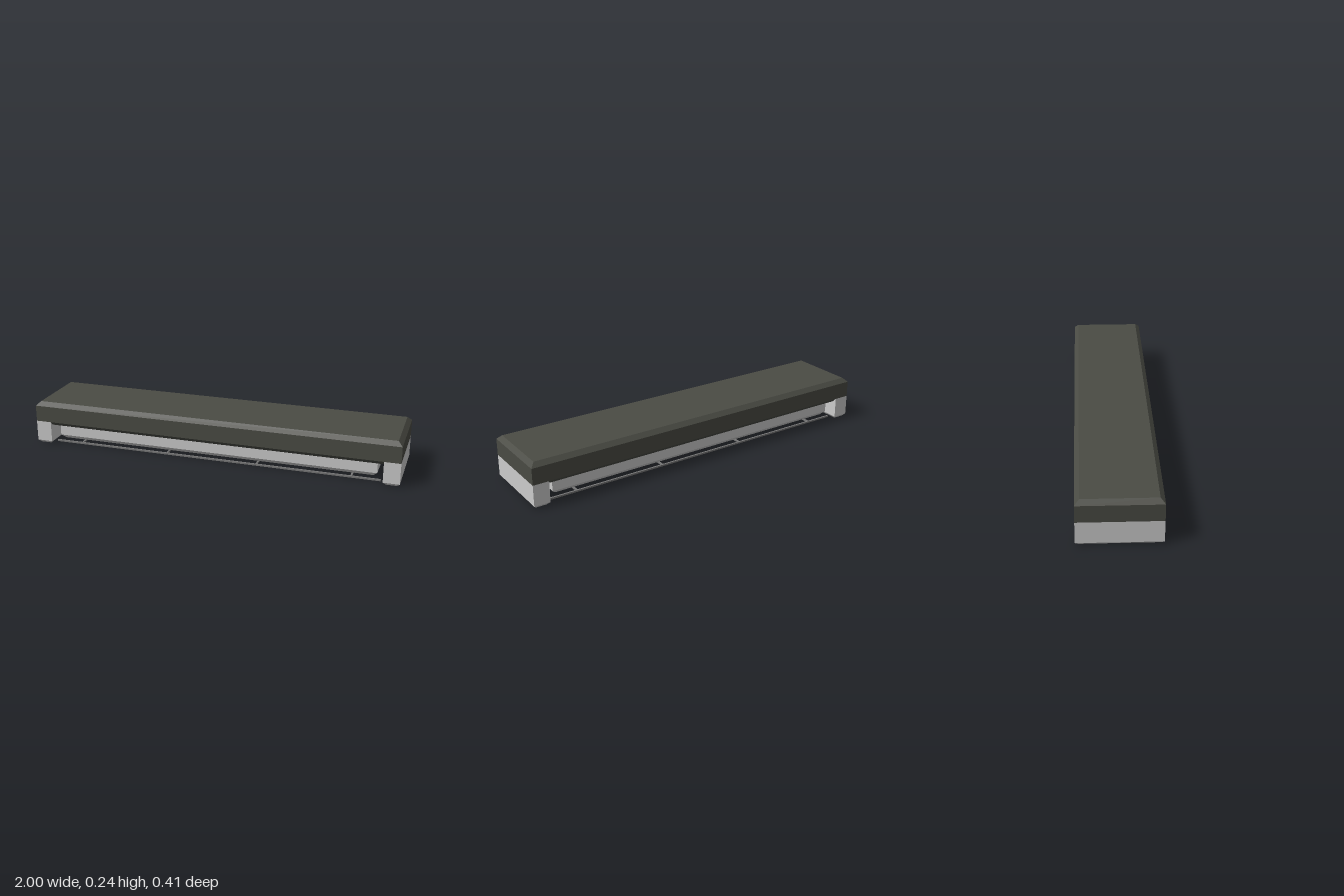
import * as THREE from 'three';

const mat = (name, color) => {
  const m = new THREE.MeshStandardMaterial({ color });
  m.name = name;
  return m;
};

// Rectangular block lofted through [y, halfX, halfZ] rings, bottom to top
function ringBlock(rings) {
  const pos = [];
  const corners = ([y, hx, hz]) => [[-hx, y, hz], [hx, y, hz], [hx, y, -hz], [-hx, y, -hz]];
  const quad = (a, b, c, d) => pos.push(...a, ...b, ...c, ...a, ...c, ...d);
  for (let r = 0; r < rings.length - 1; r++) {
    const lo = corners(rings[r]), hi = corners(rings[r + 1]);
    for (let i = 0; i < 4; i++) {
      const j = (i + 1) % 4;
      quad(lo[i], lo[j], hi[j], hi[i]);
    }
  }
  const [a, b, c, d] = corners(rings[0]);
  quad(d, c, b, a);
  quad(...corners(rings[rings.length - 1]));
  const geo = new THREE.BufferGeometry();
  geo.setAttribute('position', new THREE.Float32BufferAttribute(pos, 3));
  geo.computeVertexNormals();
  return geo;
}

export function createModel() {
  const model = new THREE.Group();
  const dark = mat('dark olive housing', 0x4a4b44);
  const grey = mat('light grey', 0xcccccc);
  const wire = mat('wire grey', 0x777777);

  const add = (name, geo, material, x = 0, y = 0, z = 0, parent = model) => {
    const mesh = new THREE.Mesh(geo, material);
    mesh.name = name;
    mesh.position.set(x, y, z);
    parent.add(mesh);
    return mesh;
  };

  // Housing, chamfered at top and bottom
  add('housing', ringBlock([
    [0.105, 0.977, 0.18], [0.127, 1, 0.203], [0.215, 1, 0.203], [0.237, 0.977, 0.18],
  ]), dark);

  // Diffuser, set into the underside of the housing
  add('diffuser', ringBlock([
    [0.02, 0.858, 0.135], [0.042, 0.88, 0.157], [0.095, 0.88, 0.157], [0.117, 0.858, 0.135],
  ]), grey);

  // End caps
  const capGeo = ringBlock([[0, 0.028, 0.188], [0.015, 0.0425, 0.203], [0.127, 0.0425, 0.203]]);
  for (const s of [1, -1]) add(s > 0 ? 'leftEndCap' : 'rightEndCap', capGeo, grey, s * 0.9575);

  // Wire guard below the diffuser
  const guard = new THREE.Group();
  guard.name = 'wireGuard';
  model.add(guard);
  const longGeo = new THREE.BoxGeometry(1.8, 0.009, 0.009);
  const crossGeo = new THREE.BoxGeometry(0.009, 0.008, 0.32);
  for (const z of [-0.16, 0.16]) add('longWire', longGeo, wire, 0, 0.008, z, guard);
  for (const x of [-0.75, -0.25, 0.25, 0.75]) add('crossWire', crossGeo, wire, x, 0.008, 0, guard);

  return model;
}
